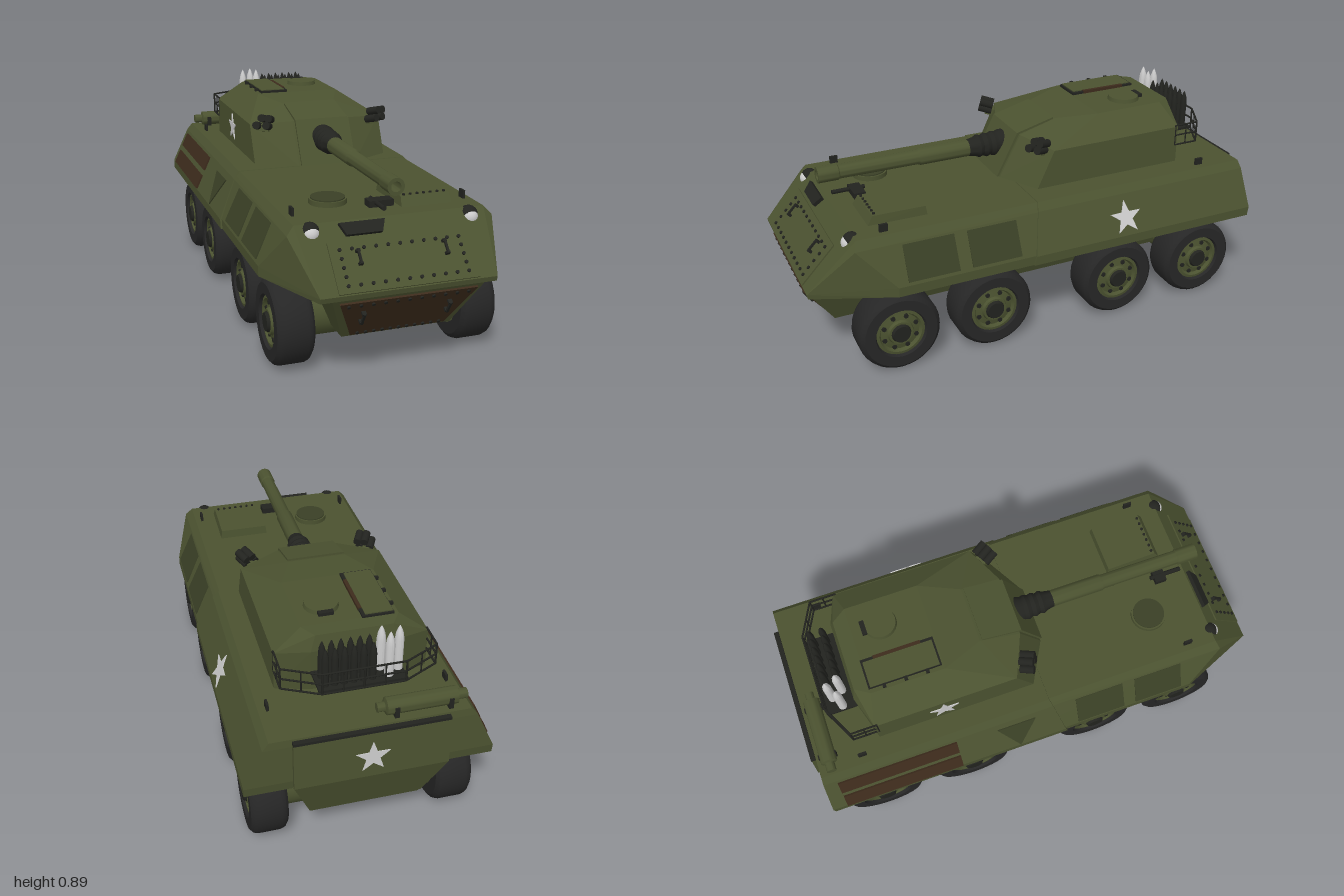
import * as THREE from 'three';
import { ConvexGeometry } from 'three/addons/geometries/ConvexGeometry.js';
import { toCreasedNormals } from 'three/addons/utils/BufferGeometryUtils.js';

const mat = (color) => new THREE.MeshStandardMaterial({ color, side: THREE.DoubleSide });
const green = mat(0x4b5230), dark = mat(0x22231f), rubber = mat(0x262626);
const brown = mat(0x3d2b1c), silver = mat(0xcccccc), shade = mat(0x3a4026);
const V = (x, y, z) => new THREE.Vector3(x, y, z);

function add(parent, name, geometry, material, x = 0, y = 0, z = 0) {
  const mesh = new THREE.Mesh(geometry, material);
  mesh.name = name;
  mesh.position.set(x, y, z);
  parent.add(mesh);
  return mesh;
}
const box = (w, h, d) => new THREE.BoxGeometry(w, h, d);
const cyl = (r, h, n = 20, r2 = r) => new THREE.CylinderGeometry(r2, r, h, n);
const lathe = (pts, n = 28) =>
  toCreasedNormals(new THREE.LatheGeometry(pts.map(([r, y]) => new THREE.Vector2(r, y)), n), 0.6);

// Faceted solid, mirrored in x
const solid = (pts) => new ConvexGeometry(pts.flatMap(([x, y, z]) => [V(x, y, z), V(-x, y, z)]));

function rod(parent, name, a, b, r, material = dark, n = 6) {
  const mesh = add(parent, name, cyl(r, a.distanceTo(b), n), material);
  mesh.position.copy(a).add(b).multiplyScalar(0.5);
  mesh.quaternion.setFromUnitVectors(V(0, 1, 0), b.clone().sub(a).normalize());
  return mesh;
}
function plate(pts, depth) {
  return new THREE.ExtrudeGeometry(new THREE.Shape(pts.map(([x, y]) => new THREE.Vector2(x, y))),
    { depth, bevelEnabled: false });
}
function star(r) {
  return plate(Array.from({ length: 10 }, (_, i) => {
    const a = Math.PI / 2 + i * Math.PI / 5, q = i % 2 ? r * 0.4 : r;
    return [q * Math.cos(a), q * Math.sin(a)];
  }), 0.004);
}
// Frame lying on a sloped surface; local z is the outward normal
function frame(parent, name, x, y, z, yaw, pitch) {
  const g = new THREE.Group();
  g.name = name;
  g.position.set(x, y, z);
  g.rotation.set(pitch, yaw, 0, 'YXZ');
  parent.add(g);
  return g;
}
const onSide = (parent, name, s, y, z, half) =>
  frame(parent, name, s * (half - (y - 0.405) * 0.469), y, z, s * Math.PI / 2, -0.44);

function bolt(parent, x, y, z) {
  add(parent, 'bolt', cyl(0.007, 0.008, 8), dark, x, y, z).rotation.x = Math.PI / 2;
}
function handle(parent, x, y, z) {
  add(parent, 'handle', box(0.009, 0.06, 0.008), dark, x, y, z + 0.016);
  for (const s of [-1, 1]) add(parent, 'handleFoot', box(0.016, 0.01, 0.018), dark, x, y + s * 0.025, z + 0.008);
}

function buildHull(root) {
  const hull = new THREE.Group();
  hull.name = 'hull';
  root.add(hull);
  add(hull, 'upperHull', solid([[0.345, 0.365, 0.995], [0.345, 0.385, 1], [0.41, 0.562, 0.815], [0.38, 0.595, 0.8],
    [0.478, 0.365, 0.67], [0.478, 0.405, 0.67], [0.403, 0.565, 0.7],
    [0.478, 0.365, -0.9], [0.478, 0.405, -0.9], [0.403, 0.565, -0.9], [0.38, 0.595, -0.9]]), green);
  add(hull, 'rearHull', solid([[0.485, 0.365, 0.09], [0.485, 0.405, 0.08], [0.41, 0.567, 0.04], [0.385, 0.598, 0.03],
    [0.485, 0.365, -0.975], [0.485, 0.405, -0.98], [0.41, 0.567, -0.972], [0.385, 0.598, -0.968]]), green);
  add(hull, 'lowerHull', solid([[0.3, 0.37, 0.995], [0.22, 0.168, 0.87], [0.3, 0.37, -0.98], [0.22, 0.168, -0.92]]), green);

  // Bolted front plates
  const upper = frame(hull, 'frontPlate', 0, 0.49, 0.9, 0, -0.76);
  add(upper, 'frontPanel', box(0.55, 0.2, 0.012), green, 0, -0.04, 0);
  const lower = frame(hull, 'lowerPlate', 0, 0.27, 0.933, 0, 0.576);
  add(lower, 'brownPanel', plate([[-0.19, -0.108], [0.19, -0.108], [0.27, 0.1], [-0.27, 0.1]], 0.008), brown);
  for (let i = 0; i < 11; i++) {
    const t = i / 5 - 1;
    bolt(upper, t * 0.235, 0.028, 0.008);
    bolt(upper, t * 0.235, -0.112, 0.008);
    bolt(lower, t * 0.235, 0.085, 0.01);
    bolt(lower, t * 0.165, -0.095, 0.01);
  }
  for (const s of [-1, 1]) {
    for (let j = 1; j < 4; j++) bolt(upper, s * 0.235, 0.028 - j * 0.035, 0.008);
    handle(upper, s * 0.17, -0.01, 0.005);
    handle(lower, s * 0.17, 0.015, 0.008);
    // Headlights, lifting eyes and side panels
    add(hull, 'lampHousing', new THREE.SphereGeometry(0.037, 20, 12), dark, s * 0.318, 0.565, 0.8);
    add(hull, 'lampLens', new THREE.SphereGeometry(0.033, 20, 12), silver, s * 0.318, 0.56, 0.81);
    for (const z of [0.68, -0.78]) add(hull, 'liftingEye', box(0.01, 0.035, 0.035), dark, s * 0.35, 0.61, z);
    for (const z of [0.52, 0.25]) add(onSide(hull, 'sidePanel', s, 0.485, z, 0.478), 'panel', box(0.215, 0.15, 0.012), shade);
  }
  const slit = frame(hull, 'visionSlit', -0.125, 0.566, 0.828, 0, -0.76);
  add(slit, 'slitFrame', plate([[-0.07, -0.025], [0.07, -0.025], [0.09, 0.025], [-0.09, 0.025]], 0.016), dark);

  // Deck fittings
  add(hull, 'roundHatch', cyl(0.075, 0.022, 28), green, -0.17, 0.604, 0.57);
  add(hull, 'hatchRim', cyl(0.068, 0.008, 28), shade, -0.17, 0.616, 0.57);
  add(hull, 'deckBox', solid([[0.105, 0.59, 0.125], [0.11, 0.59, -0.125], [0.1, 0.632, 0.1], [0.105, 0.632, -0.12]]), green, 0.18, 0, 0.6);
  for (let i = 0; i < 7; i++) add(hull, 'deckBolt', cyl(0.006, 0.008, 8), dark, 0.096 + i * 0.028, 0.634, 0.69);
  add(hull, 'machineGunMount', box(0.1, 0.026, 0.05), dark, 0, 0.612, 0.68);
  rod(hull, 'machineGun', V(-0.02, 0.617, 0.64), V(-0.02, 0.617, 0.78), 0.01);

  // Rear door
  add(hull, 'rearDoor', solid([[0.3, 0.58, -0.96], [0.3, 0.58, -0.988], [0.3, 0.38, -0.97], [0.3, 0.38, -1],
    [0.22, 0.2, -0.91], [0.22, 0.2, -0.945]]), green);
  add(hull, 'doorHinge', box(0.6, 0.012, 0.02), dark, 0, 0.585, -0.98);
  add(frame(hull, 'rearStar', 0, 0.47, -0.994, Math.PI, -0.06), 'star', star(0.07), silver);

  // Side markings and stowed planks
  add(onSide(hull, 'sideStar', 1, 0.475, -0.355, 0.486), 'star', star(0.075), silver);
  for (const y of [0.44, 0.525]) add(onSide(hull, 'plank', -1, y, -0.655, 0.487), 'plank', box(0.52, 0.066, 0.014), brown);
  add(onSide(hull, 'triangleBracket', -1, 0.475, -0.13, 0.486), 'triangle', plate([[0, -0.07], [0.085, 0.07], [-0.085, 0.07]], 0.005), shade);

  // Exhaust silencer on the rear deck
  const muffler = add(hull, 'muffler', lathe([[0, -0.175], [0.02, -0.175], [0.02, -0.14], [0.034, -0.135], [0.034, 0.14], [0.018, 0.145], [0.018, 0.175], [0, 0.175]]), green, -0.205, 0.632, -0.915);
  muffler.rotation.z = -Math.PI / 2;
  for (const x of [-0.31, -0.1]) add(hull, 'mufflerStrap', box(0.018, 0.05, 0.074), dark, x, 0.618, -0.915);
}

function buildWheels(root) {
  const tyre = lathe([[0.1, -0.074], [0.15, -0.074], [0.166, -0.062], [0.172, -0.045], [0.172, 0.045], [0.166, 0.062], [0.152, 0.074], [0.108, 0.074], [0.1, 0.055]], 32);
  const rim = lathe([[0, -0.074], [0.102, -0.074], [0.102, 0.062], [0.09, 0.064], [0.082, 0.05], [0.055, 0.056], [0.05, 0.068], [0, 0.068]]);
  for (const z of [0.66, 0.25, -0.34, -0.755]) {
    rod(root, 'axle', V(-0.31, 0.2, z), V(0.31, 0.2, z), 0.1, green, 24);
    for (const s of [-1, 1]) {
      const wheel = new THREE.Group();
      wheel.name = 'wheel';
      wheel.position.set(s * 0.374, 0.172, z);
      wheel.rotation.z = -s * Math.PI / 2;
      root.add(wheel);
      add(wheel, 'tyre', tyre, rubber);
      add(wheel, 'rim', rim, green);
      add(wheel, 'hub', cyl(0.045, 0.02, 16, 0.036), dark, 0, 0.07, 0);
      for (let i = 0; i < 8; i++) {
        const a = (i + 0.5) * Math.PI / 4;
        add(wheel, 'rimHole', cyl(0.01, 0.01, 8), dark, 0.072 * Math.cos(a), 0.053, 0.072 * Math.sin(a));
      }
    }
  }
}

function buildTurret(root) {
  const turret = new THREE.Group();
  turret.name = 'turret';
  root.add(turret);
  add(turret, 'turretRing', cyl(0.27, 0.03, 40), dark, 0, 0.605, -0.33);
  add(turret, 'turretBody', solid([[0.13, 0.612, 0.085], [0.302, 0.612, -0.01], [0.302, 0.612, -0.69], [0.17, 0.612, -0.73],
    [0.13, 0.79, -0.01], [0.302, 0.772, -0.085], [0.302, 0.775, -0.69], [0.17, 0.79, -0.735],
    [0.12, 0.835, -0.18], [0.19, 0.853, -0.35], [0.19, 0.855, -0.66], [0.15, 0.852, -0.72]]), green);
  add(turret, 'mantlet', plate([[-0.095, 0.612], [0, 0.797], [0.17, 0.841], [0.17, 0.7], [0.05, 0.612]], 0.24), green, -0.12).rotation.y = Math.PI / 2;

  // Gun with ribbed boot
  const gun = add(turret, 'gunBarrel', lathe([[0.036, 0], [0.036, 0.4], [0.031, 0.41], [0.03, 0.75], [0.034, 0.755], [0.034, 0.84], [0.02, 0.84], [0.02, 0.7], [0, 0.7]]), green, 0, 0.715, 0);
  gun.rotation.x = Math.PI / 2;
  const boot = [[0.056, 0]];
  for (let i = 0; i < 4; i++) boot.push([0.056 - i * 0.002, 0.03 + i * 0.034], [0.05 - i * 0.003, 0.047 + i * 0.034]);
  add(turret, 'gunBoot', lathe([...boot, [0.036, 0.18]]), dark, 0, 0.715, 0).rotation.x = Math.PI / 2;

  // Smoke launchers
  for (const s of [-1, 1]) {
    const p = frame(turret, 'smokeLauncher', s * 0.255, 0.785, -0.035, s * 0.5, -0.25);
    add(p, 'bracket', box(0.05, 0.03, 0.06), green, 0, -0.02, -0.02);
    for (const [x, y] of [[-0.022, -0.012], [0.022, -0.012], [0, 0.02], [0.03, 0.018]])
      add(p, 'launcherTube', cyl(0.017, 0.06, 12), dark, x, y, 0.012).rotation.x = Math.PI / 2;
  }
  // Roof hatches
  add(turret, 'roundHatch', cyl(0.07, 0.022, 28, 0.065), green, 0.08, 0.86, -0.54);
  add(turret, 'hatchHinge', box(0.06, 0.014, 0.02), dark, 0.08, 0.866, -0.61);
  add(turret, 'longHatchFrame', box(0.126, 0.016, 0.306), dark, -0.11, 0.855, -0.51);
  add(turret, 'longHatch', box(0.11, 0.02, 0.29), green, -0.115, 0.857, -0.51);
  add(turret, 'hatchStrip', box(0.014, 0.014, 0.2), brown, -0.052, 0.86, -0.51);
  for (const z of [-0.6, -0.51, -0.42]) add(turret, 'hatchLatch', box(0.018, 0.016, 0.014), dark, -0.178, 0.858, z);
  add(frame(turret, 'turretStar', -0.302, 0.695, -0.4, -Math.PI / 2, 0), 'star', star(0.065), silver);

  // Rear basket
  const path = [[-0.3, -0.68], [-0.3, -0.79], [-0.16, -0.86], [0, -0.86], [0.16, -0.86], [0.3, -0.79], [0.3, -0.68]];
  path.forEach(([x, z], i) => {
    rod(turret, 'basketPost', V(x, 0.69, z), V(x, 0.78, z), 0.004);
    if (!i) return;
    const [px, pz] = path[i - 1];
    for (const y of [0.69, 0.735, 0.78]) rod(turret, 'basketRail', V(px, y, pz), V(x, y, z), 0.004);
    const mx = (x + px) / 2, mz = (z + pz) / 2;
    rod(turret, 'basketBar', V(mx, 0.69, mz), V(mx, 0.78, mz), 0.003);
  });
  add(turret, 'basketFloor', box(0.34, 0.01, 0.13), dark, 0, 0.695, -0.79);

  // Stowed rounds
  const round = (x, z, r, top, m) => {
    const h = top - 0.7;
    add(turret, 'round', lathe([[0, 0], [r, 0], [r, h * 0.68], [r * 0.8, h * 0.82], [r * 0.35, h * 0.94], [0, h]], 14), m, x, 0.7, z);
  };
  for (const [x, z] of [[-0.15, -0.79], [-0.105, -0.82], [-0.085, -0.775]]) round(x, z, 0.018, 0.895, silver);
  for (let i = 0; i < 6; i++) for (const z of [-0.775, -0.825]) round(-0.04 + i * 0.036, z, 0.014, 0.865, dark);
}

export function createModel() {
  const root = new THREE.Group();
  root.name = 'armouredVehicle';
  buildHull(root);
  buildWheels(root);
  buildTurret(root);
  return root;
}
